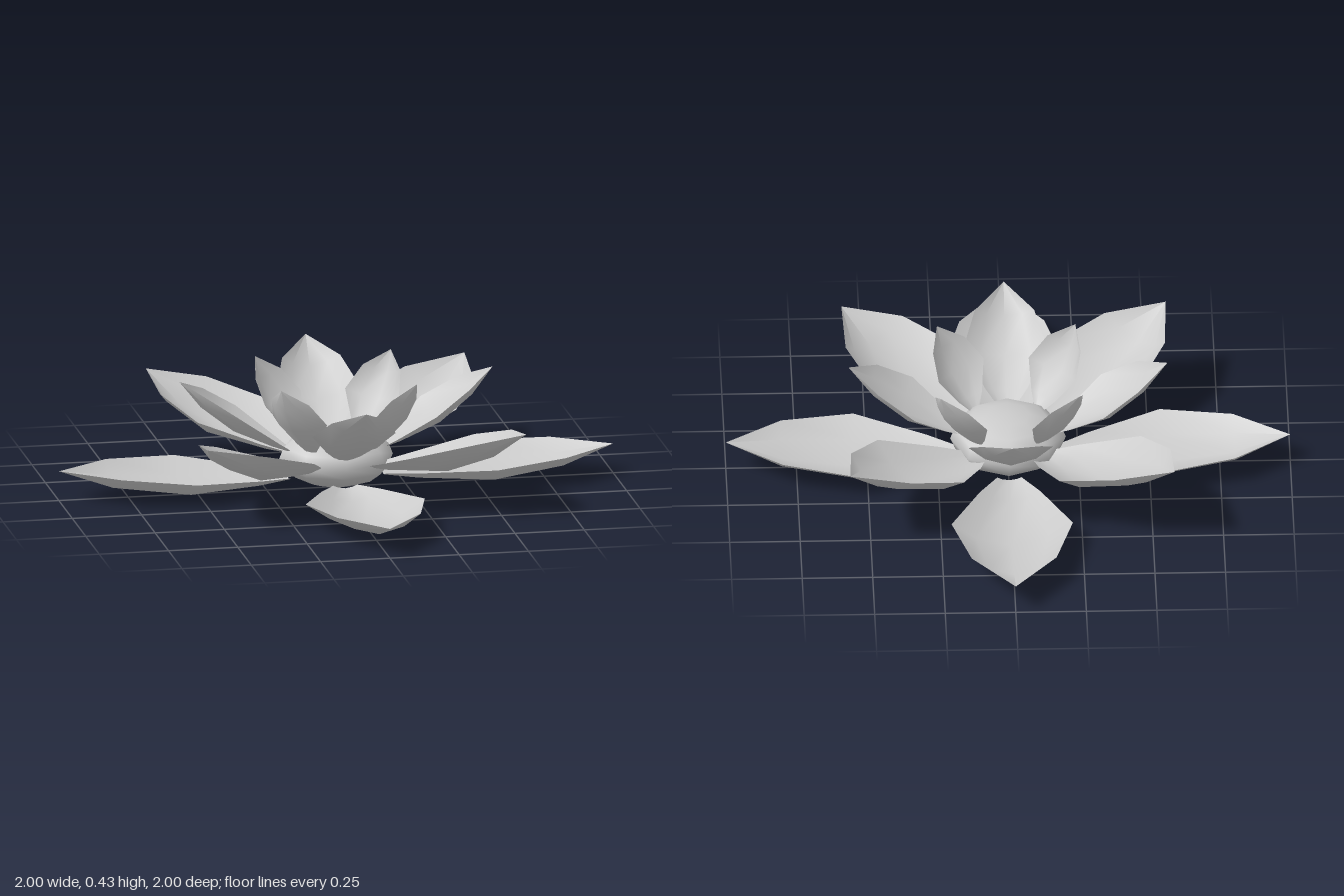
import * as THREE from 'three';

const material = new THREE.MeshStandardMaterial({ color: 0xcccccc, side: THREE.DoubleSide });

// Stations along a petal: [position, half-width factor, cup depth factor, edge lift factor]
const STATIONS = [
  [0, 0.2, 0.15, 0],
  [0.14, 0.5, 0.5, 0.3],
  [0.45, 1, 1, 1],
  [0.76, 0.7, 0.75, 0.8],
  [1, 0, 0, 0],
];
const COLUMNS = [-1, -0.6, 0, 0.6, 1];

// Cupped petal running from base [radius, y] to tip [radius, y] along +z
function petalGeometry({ base, tip, width, depth, lift }) {
  const dr = tip[0] - base[0], dy = tip[1] - base[1];
  const length = Math.hypot(dr, dy);
  const positions = [], index = [];
  for (const [t, w, d, l] of STATIONS) {
    for (const u of COLUMNS) {
      const offset = u * u * l * lift - (1 - u * u) * d * depth;
      positions.push(
        u * w * width,
        base[1] + t * dy + (offset * dr) / length,
        base[0] + t * dr - (offset * dy) / length,
      );
    }
  }
  const n = COLUMNS.length;
  for (let i = 0; i < STATIONS.length - 1; i++) {
    for (let j = 0; j < n - 1; j++) {
      const a = i * n + j, b = a + 1, c = a + n, d = c + 1;
      index.push(a, c, b);
      if (i < STATIONS.length - 2) index.push(b, c, d);
    }
  }
  const geometry = new THREE.BufferGeometry();
  geometry.setAttribute('position', new THREE.Float32BufferAttribute(positions, 3));
  geometry.setIndex(index);
  geometry.computeVertexNormals();
  return geometry;
}

export function createModel() {
  const flower = new THREE.Group();
  flower.name = 'waterLily';

  // Flattened seed pod in the middle
  const pod = new THREE.Mesh(new THREE.SphereGeometry(0.205, 8, 8), material);
  pod.name = 'seedPod';
  pod.scale.y = 0.5;
  pod.position.y = 0.12;
  flower.add(pod);

  // Four rings of four petals, from the lowest to the steepest
  const rings = [
    { name: 'outerPetal', turn: 0, base: [0.17, 0.058], tip: [1, 0.115], width: 0.215, depth: 0.076, lift: 0.012 },
    { name: 'middlePetal', turn: 0.5, base: [0.16, 0.115], tip: [0.813, 0.32], width: 0.21, depth: 0.075, lift: 0.015 },
    { name: 'innerPetal', turn: 0, base: [0.16, 0.15], tip: [0.565, 0.42], width: 0.15, depth: 0.05, lift: 0.015 },
    { name: 'heartPetal', turn: 0.5, base: [0.16, 0.17], tip: [0.347, 0.435], width: 0.115, depth: 0.035, lift: 0.02 },
  ];
  for (const ring of rings) {
    const geometry = petalGeometry(ring);
    for (let i = 0; i < 4; i++) {
      const petal = new THREE.Mesh(geometry, material);
      petal.name = ring.name;
      petal.rotation.y = (i + ring.turn) * Math.PI / 2;
      flower.add(petal);
    }
  }
  return flower;
}
